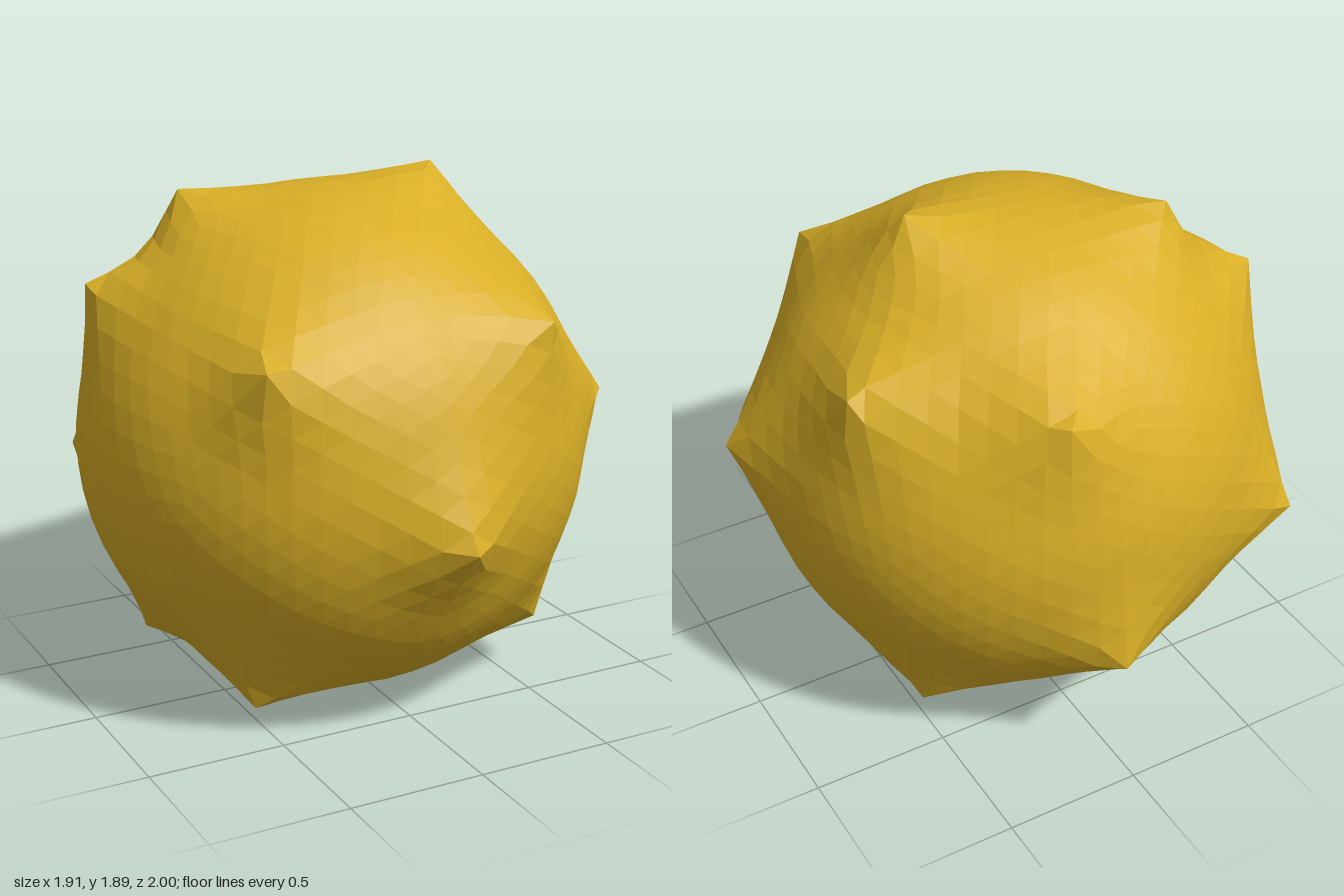
import * as THREE from 'three';
import { mergeVertices } from 'three/addons/utils/BufferGeometryUtils.js';

const RADIUS = 0.92;
const REACH = 0.38; // how far a spike's flare spreads over the ball
const CENTRE = new THREE.Vector3(-0.04, 0.92, -0.04);

// Spike tips: x, y, z
const TIPS = [
  [0.34, 1.89, 0], [-0.53, 1.82, -0.25], [-0.87, 1.51, -0.29],
  [0.75, 1.51, -0.37], [0.95, 1.02, 0.23], [-0.03, 0.79, 1.0],
  [0.05, 0.54, -1.0], [0.21, 1.51, -0.86], [-0.63, 1.4, 0.68],
  [0.4, 1.46, 0.74], [-0.77, 0.77, -0.78], [0.61, 0.21, 0.35],
  [0.53, 0.14, -0.41], [-0.53, 0.08, 0.34], [-0.65, 0.14, -0.38],
];

// Faceted ball whose surface is drawn out into concave pointed spikes
function spikedBall() {
  let geo = new THREE.IcosahedronGeometry(RADIUS, 10);
  geo.deleteAttribute('normal');
  geo.deleteAttribute('uv');
  geo = mergeVertices(geo, 1e-4);
  const pos = geo.attributes.position;
  const v = new THREE.Vector3();
  const spikes = TIPS.map((t) => {
    const tip = new THREE.Vector3(...t).sub(CENTRE);
    return { height: tip.length() - RADIUS, base: tip.setLength(RADIUS) };
  });

  // Put one vertex exactly under each tip
  for (const { base } of spikes) {
    let nearest = 0, best = Infinity;
    for (let i = 0; i < pos.count; i++) {
      const d = v.fromBufferAttribute(pos, i).distanceTo(base);
      if (d < best) { best = d; nearest = i; }
    }
    pos.setXYZ(nearest, base.x, base.y, base.z);
  }

  // Lift the surface towards each tip
  for (let i = 0; i < pos.count; i++) {
    v.fromBufferAttribute(pos, i);
    let lift = 0;
    for (const { base, height } of spikes) {
      const f = Math.max(0, 1 - v.distanceTo(base) / REACH);
      lift = Math.max(lift, height * f * f);
    }
    v.setLength(RADIUS + lift);
    pos.setXYZ(i, v.x, v.y, v.z);
  }
  const flat = geo.toNonIndexed();
  flat.computeVertexNormals();
  return flat;
}

export function createModel() {
  const group = new THREE.Group();
  group.name = 'spikedBallModel';
  const gold = new THREE.MeshStandardMaterial({ color: 0xd8ae26, flatShading: true });
  gold.name = 'gold';
  const ball = new THREE.Mesh(spikedBall(), gold);
  ball.name = 'spikedBall';
  ball.position.copy(CENTRE);
  group.add(ball);
  return group;
}
